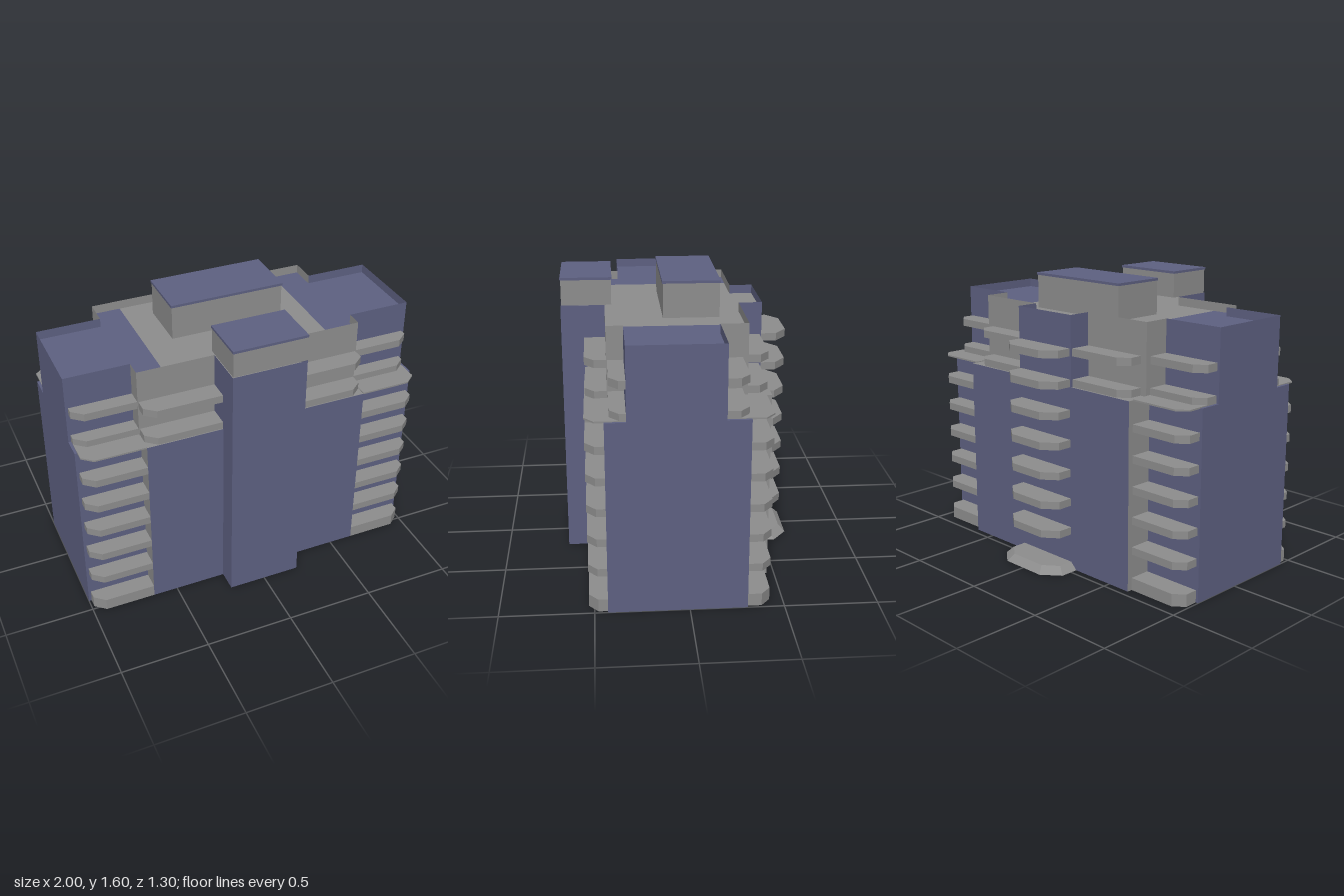
import * as THREE from 'three';
import { mergeGeometries } from 'three/addons/utils/BufferGeometryUtils.js';

export function createModel() {
  const model = new THREE.Group();
  const blue = new THREE.MeshStandardMaterial({ color: 0x5d6081, side: THREE.DoubleSide });
  blue.name = 'slateBlue';
  const grey = new THREE.MeshStandardMaterial({ color: 0x8d8d8d, side: THREE.DoubleSide });
  grey.name = 'concreteGrey';

  const add = (name, geometry, material) => {
    const mesh = new THREE.Mesh(geometry, material);
    mesh.name = name;
    model.add(mesh);
    return mesh;
  };

  // Plan polygons are [x, z] lists, extruded upwards or left flat
  const toShape = (pts) => new THREE.Shape(pts.map(([x, z]) => new THREE.Vector2(x, -z)));
  const prism = (name, pts, y, h, material) => {
    const g = new THREE.ExtrudeGeometry(toShape(pts), { depth: h, bevelEnabled: false });
    add(name, g.rotateX(-Math.PI / 2).translate(0, y, 0), material);
  };
  const flat = (name, pts, y, material) =>
    add(name, new THREE.ShapeGeometry(toShape(pts)).rotateX(-Math.PI / 2).translate(0, y, 0), material);
  const rect = (x0, x1, z0, z1) => [[x0, z0], [x1, z0], [x1, z1], [x0, z1]];
  const mirror = (pts, s) => pts.map(([x, z]) => [x * s, z]);

  // Open wall shells: half a plan from front to back, one colour letter per wall
  const walls = (name, half, colours, y0, y1) => {
    const parts = { b: [], g: [] };
    for (const s of [1, -1]) {
      for (let i = 0; i + 1 < half.length; i++) {
        let a = half[i], b = half[i + 1];
        if (s < 0) [a, b] = [[-b[0], b[1]], [-a[0], a[1]]];
        const dx = b[0] - a[0], dz = b[1] - a[1];
        const g = new THREE.PlaneGeometry(Math.hypot(dx, dz), y1 - y0);
        g.rotateY(Math.atan2(-dz, dx));
        g.translate((a[0] + b[0]) / 2, (y0 + y1) / 2, (a[1] + b[1]) / 2);
        parts[colours[i]].push(g);
      }
    }
    add(name + 'Blue', mergeGeometries(parts.b), blue);
    add(name + 'Grey', mergeGeometries(parts.g), grey);
  };

  const TERRACE = 1.056, TOP = 1.45, ROOF = 1.4;
  walls('lowerWalls', [[0, 0.65], [0.21, 0.65], [0.21, 0.53], [0.64, 0.53], [0.64, 0.43], [1, 0.43],
    [1, -0.305], [0.64, -0.305], [0.64, -0.46], [0, -0.46]], 'bbbgbbbgb', 0, TERRACE);
  walls('upperWalls', [[0, 0.65], [0.21, 0.65], [0.21, 0.41], [0.64, 0.41], [0.64, 0.32], [1, 0.32],
    [1, -0.18], [0.64, -0.18], [0.64, -0.33], [0.21, -0.33], [0.21, -0.46], [0, -0.46]],
    'bbggbbbggbb', TERRACE, TOP);

  // Roof sunk behind the parapet
  flat('middleRoof', [[-0.48, 0.41], [-0.21, 0.41], [-0.21, 0.65], [0.21, 0.65], [0.21, 0.41], [0.48, 0.41],
    [0.48, -0.33], [0.21, -0.33], [0.21, -0.46], [-0.21, -0.46], [-0.21, -0.33], [-0.48, -0.33]], ROOF, grey);
  for (const s of [1, -1]) {
    flat('endRoof', mirror([[0.48, 0.41], [0.64, 0.41], [0.64, 0.32], [1, 0.32], [1, -0.18],
      [0.64, -0.18], [0.64, -0.33], [0.48, -0.33]], s), ROOF, blue);
  }

  // Balcony slab with a chamfered outer corner; z0 is the wall, z1 the free edge
  const balcony = (name, x0, x1, z0, z1, y, h) => {
    const d = Math.sign(z1 - z0) * 0.05;
    for (const s of [1, -1]) {
      prism(name, mirror([[x0, z0], [x1, z0], [x1, z1 - d], [x1 - 0.06, z1], [x0, z1]], s), y, h, grey);
    }
  };

  const slabY = (i) => 0.035 + 0.17 * i;
  const SLAB = 0.043;
  for (let i = 0; i < 6; i++) {
    const y = i ? slabY(i) : 0, h = i ? SLAB : 0.07;
    balcony('lowerFrontBalcony', 0.64, 0.985, 0.43, 0.53, y, h);
    balcony('lowerBackBalcony', 0.64, 0.985, -0.305, -0.43, y, h);
  }
  for (let i = 6; i < 8; i++) {
    balcony('upperFrontEndBalcony', 0.64, 0.985, 0.32, 0.405, slabY(i), SLAB);
    balcony('upperBackEndBalcony', 0.64, 0.985, -0.18, -0.3, slabY(i), SLAB);
    balcony('upperFrontBalcony', 0.21, 0.635, 0.41, 0.525, slabY(i), SLAB);
    balcony('upperBackBalcony', 0.21, 0.6, -0.33, -0.45, slabY(i), SLAB);
  }

  // Terraces at the setback, with thin roofs over the balcony bays
  for (const s of [1, -1]) {
    flat('frontEndTerrace', mirror(rect(0.64, 1, 0.32, 0.43), s), TERRACE, blue);
    flat('backEndTerrace', mirror(rect(0.64, 1, -0.305, -0.18), s), TERRACE, blue);
    flat('frontTerrace', mirror(rect(0.21, 0.64, 0.41, 0.53), s), TERRACE, grey);
    flat('backTerrace', mirror(rect(0.21, 0.64, -0.46, -0.33), s), TERRACE, grey);
  }
  balcony('frontBayRoof', 0.64, 0.985, 0.32, 0.53, TERRACE - 0.004, 0.009);
  balcony('backBayRoof', 0.64, 0.985, -0.18, -0.43, TERRACE - 0.004, 0.009);

  // Stack of balconies up the middle of the back
  const bay = [[-0.2, -0.46], [-0.2, -0.545], [-0.115, -0.61], [0.115, -0.61], [0.2, -0.545], [0.2, -0.46]];
  for (let i = 1; i < 8; i++) prism('backBalcony', bay, slabY(i), SLAB, grey);

  // Entrance apron with sloping edges: widen the bottom ring of the slab
  const apron = new THREE.ExtrudeGeometry(toShape(bay), { depth: 0.04, bevelEnabled: false });
  apron.rotateX(-Math.PI / 2);
  const p = apron.attributes.position;
  for (let i = 0; i < p.count; i++) {
    if (p.getY(i) < 0.01) {
      p.setX(i, p.getX(i) * 1.2);
      p.setZ(i, -0.46 + (p.getZ(i) + 0.46) * 1.25);
    }
  }
  apron.computeVertexNormals();
  add('entranceApron', apron, grey);

  // Rooftop housings with thin blue caps
  const housing = (name, x, z0, z1, y) => {
    prism(name, rect(-x, x, z0, z1), y, 1.59 - y, grey);
    prism(name + 'Cap', rect(-x - 0.004, x + 0.004, z0 - 0.004, z1 + 0.004), 1.59, 0.014, blue);
  };
  housing('penthouse', 0.323, -0.212, 0.096, ROOF);
  housing('towerHead', 0.206, 0.372, 0.646, TOP);

  return model;
}
